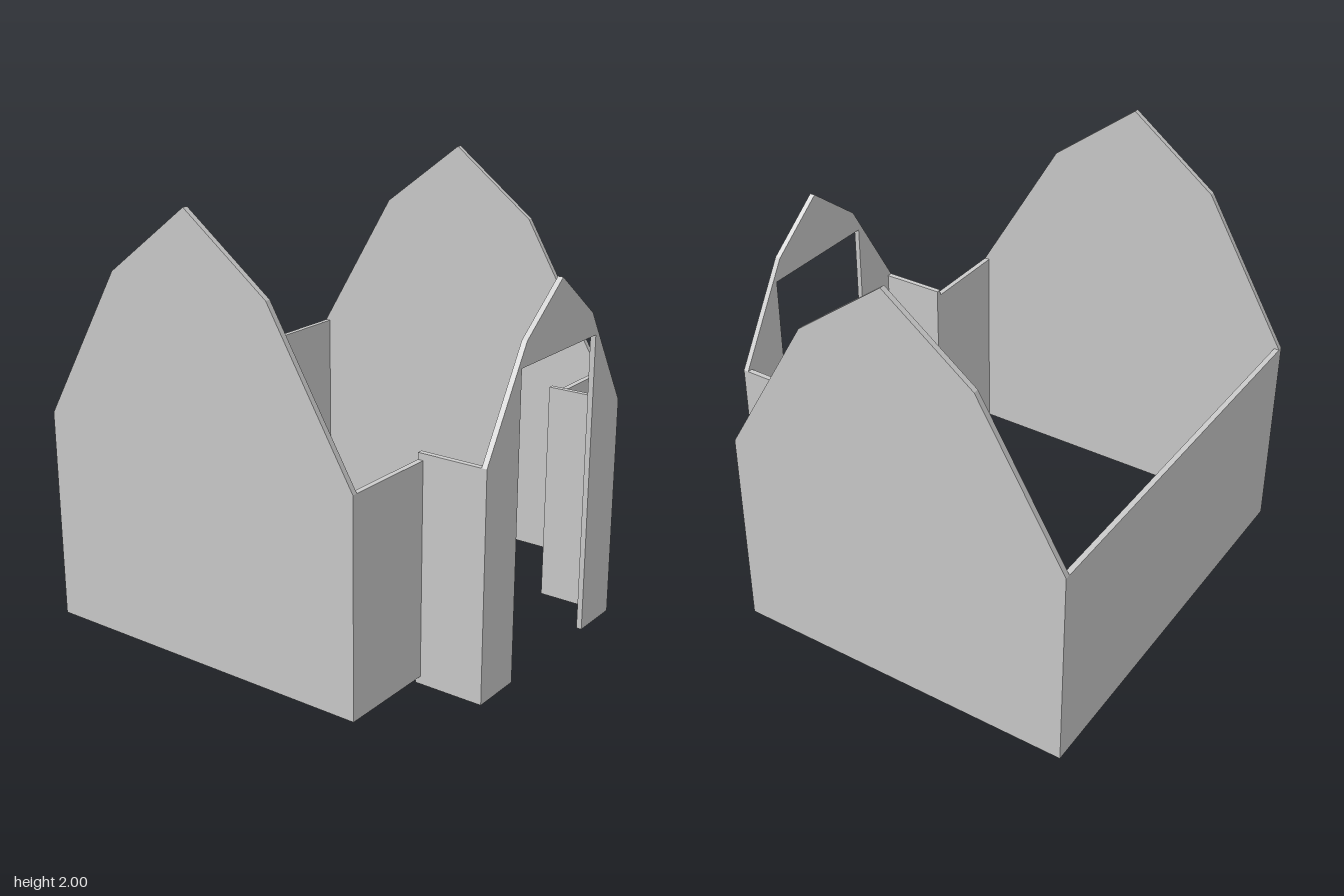
import * as THREE from 'three';

const T = 0.025; // wall thickness
const material = new THREE.MeshStandardMaterial({ color: 0xcccccc, flatShading: true, side: THREE.DoubleSide });

// Flat wall cut from an outline, extruded by the wall thickness
function panel(name, points) {
  const shape = new THREE.Shape(points.map(([x, y]) => new THREE.Vector2(x, y)));
  const geometry = new THREE.ExtrudeGeometry(shape, { depth: T, bevelEnabled: false });
  const mesh = new THREE.Mesh(geometry, material);
  mesh.name = name;
  return mesh;
}

// Straight wall given by its extents
function wall(name, x0, x1, y0, y1, z0, z1) {
  const mesh = new THREE.Mesh(new THREE.BoxGeometry(x1 - x0, y1 - y0, z1 - z0), material);
  mesh.name = name;
  mesh.position.set((x0 + x1) / 2, (y0 + y1) / 2, (z0 + z1) / 2);
  return mesh;
}

export function createModel() {
  const group = new THREE.Group();
  group.name = 'houseWalls';

  const halfWidth = 0.98, back = -0.97, front = 0.67, porchFront = 0.97;
  const base = 0.035, eaves = 1.0;
  const porchRight = -0.515, porchLeft = 0.572, porchEaves = 1.03;

  // Side gables; the outline's x runs along -z after the turn
  const gable = [
    [-front, base], [-back, base], [-back, eaves], [0.56, 1.69],
    [0.15, 2], [-0.26, 1.69], [-front, eaves],
  ];
  for (const [name, x] of [['rightGable', -halfWidth], ['leftGable', halfWidth - T]]) {
    const mesh = panel(name, gable);
    mesh.rotation.y = Math.PI / 2;
    mesh.position.x = x;
    group.add(mesh);
  }

  // Low back wall and the two short front walls
  const inner = halfWidth - T;
  group.add(
    wall('backWall', -inner, inner, base, eaves, back, back + T),
    wall('frontWallRight', -inner, porchRight, base, eaves, front - T, front),
    wall('frontWallLeft', porchLeft, inner, base, eaves, front - T, front),
  );

  // Porch front with a gable top and a doorway open to the ground
  const porch = panel('porchFront', [
    [porchRight, 0], [-0.275, 0], [-0.275, 1.38], [0.33, 1.38], [0.33, 0], [porchLeft, 0],
    [porchLeft, porchEaves], [0.296, 1.485], [0.028, 1.69], [-0.24, 1.485], [porchRight, porchEaves],
  ]);
  porch.position.z = porchFront - T;
  group.add(porch);

  // Porch side walls reaching back to the house
  group.add(
    wall('porchSideRight', porchRight, porchRight + T, 0, porchEaves, front - T, porchFront - T),
    wall('porchSideLeft', porchLeft - T, porchLeft, 0, porchEaves, front - T - 0.01, porchFront - T),
  );

  return group;
}
